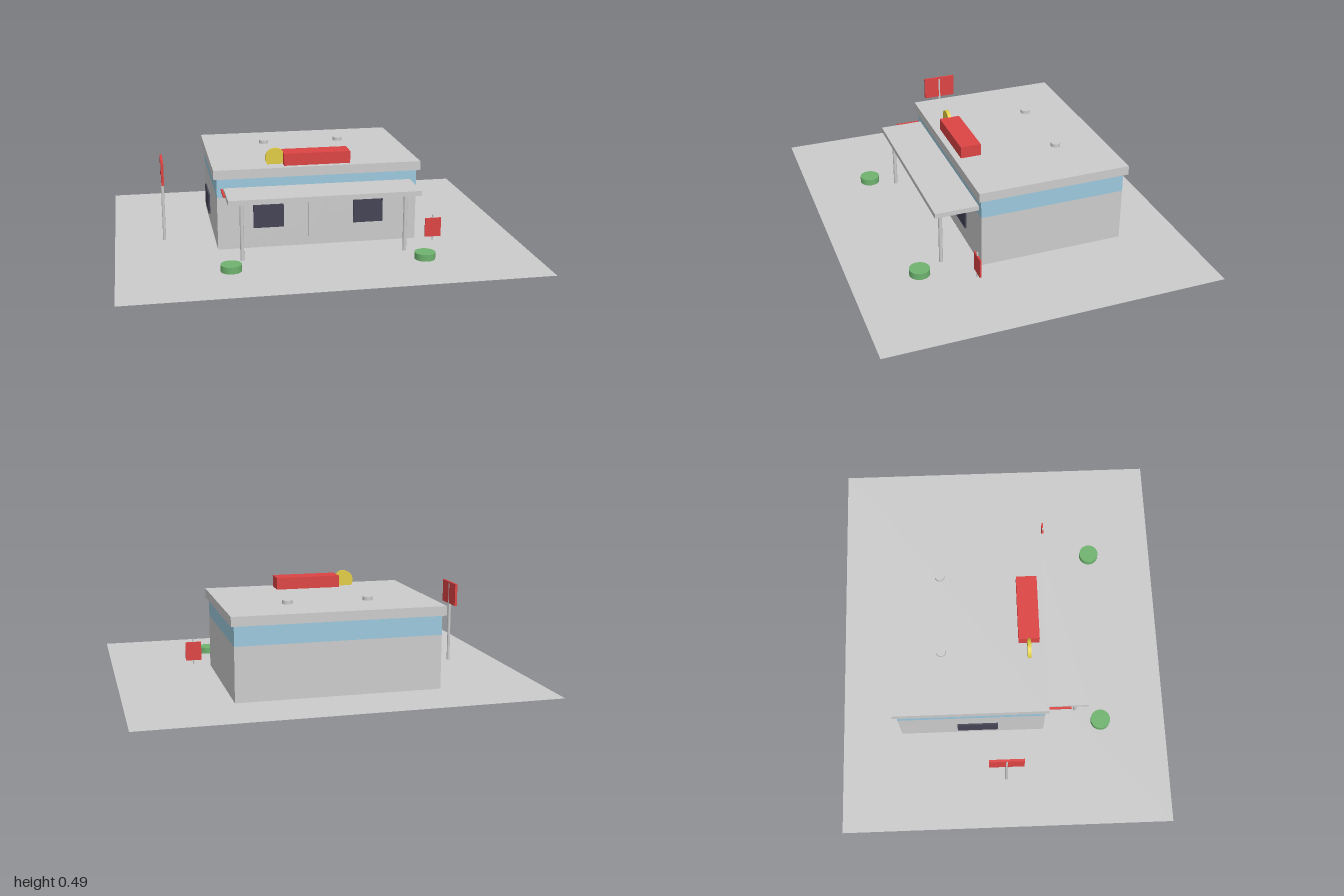
import * as THREE from 'three';

const mat = (color, side = THREE.FrontSide) =>
  new THREE.MeshStandardMaterial({ color, side });
const GREY = mat(0xcccccc);
const RED = mat(0xdd4444);
const BLUE = mat(0x9cc8dd);
const YELLOW = mat(0xe0cc44);
const GREEN = mat(0x6fb36f);
const GLASS = mat(0x444455);

export function createModel() {
  const model = new THREE.Group();

  const add = (name, geometry, material, x, y, z) => {
    const mesh = new THREE.Mesh(geometry, material);
    mesh.name = name;
    mesh.position.set(x, y, z);
    model.add(mesh);
    return mesh;
  };
  // Box given by its extents on each axis
  const box = (name, material, [x0, x1], [y0, y1], [z0, z1]) =>
    add(name, new THREE.BoxGeometry(x1 - x0, y1 - y0, z1 - z0), material,
      (x0 + x1) / 2, (y0 + y1) / 2, (z0 + z1) / 2);
  // Upright cylinder from y0 to y1
  const post = (name, material, r, x, z, y0, y1, sides = 16) =>
    add(name, new THREE.CylinderGeometry(r, r, y1 - y0, sides), material, x, (y0 + y1) / 2, z);

  // Forecourt
  const ground = add('ground', new THREE.PlaneGeometry(2, 1.663),
    mat(0xcccccc, THREE.DoubleSide), 0, 0, 0);
  ground.rotation.x = -Math.PI / 2;

  // Building: walls, coloured upper band, overhanging roof slab
  box('walls', GREY, [-0.5, 0.5], [0, 0.265], [-0.53, 0.2]);
  box('wallBand', BLUE, [-0.5, 0.5], [0.265, 0.361], [-0.53, 0.2]);
  box('roof', GREY, [-0.516, 0.516], [0.361, 0.407], [-0.549, 0.215]);

  // Door and windows, standing just clear of the walls
  box('door', GREY, [-0.05, 0.05], [0.05, 0.25], [0.213, 0.221]);
  for (const s of [-1, 1]) {
    box('frontWindow', GLASS, [s * 0.25 - 0.075, s * 0.25 + 0.075], [0.108, 0.224], [0.213, 0.221]);
  }
  box('sideWindow', GLASS, [-0.523, -0.515], [0.115, 0.216], [-0.237, -0.035]);

  // Front canopy with its trim bar
  box('canopy', GREY, [-0.467, 0.467], [0.289, 0.313], [0.2, 0.415]);
  box('canopyTrim', RED, [-0.481, -0.471], [0.304, 0.313], [0.21, 0.33]);

  // Canopy posts, planters and roof vents, mirrored
  for (const s of [-1, 1]) {
    post('canopyPost', GREY, 0.0095, s * 0.4, 0.37, 0, 0.289);
    post('planter', GREEN, 0.05, s * 0.467, 0.498, 0, 0.033, 24);
    post('roofVent', GREY, 0.024, s * 0.2, -0.302, 0.407, 0.425, 24);
  }

  // Roof sign with a round badge
  box('roofSign', RED, [-0.165, 0.165], [0.407, 0.467], [0.08, 0.183]);
  const badge = add('roofBadge', new THREE.CylinderGeometry(0.05, 0.05, 0.017, 32),
    YELLOW, -0.202, 0.436, 0.131);
  badge.rotation.x = Math.PI / 2;

  // Tall roadside sign
  post('poleSignPost', GREY, 0.0075, -0.753, 0, 0, 0.415);
  box('poleSignPanel', RED, [-0.759, -0.747], [0.308, 0.423], [-0.085, 0.085]);

  // Small standing sign
  post('smallSignPost', GREY, 0.004, 0.58, 0.248, 0, 0.134, 12);
  box('smallSignPanel', RED, [0.54, 0.622], [0.02, 0.117], [0.244, 0.252]);

  return model;
}
